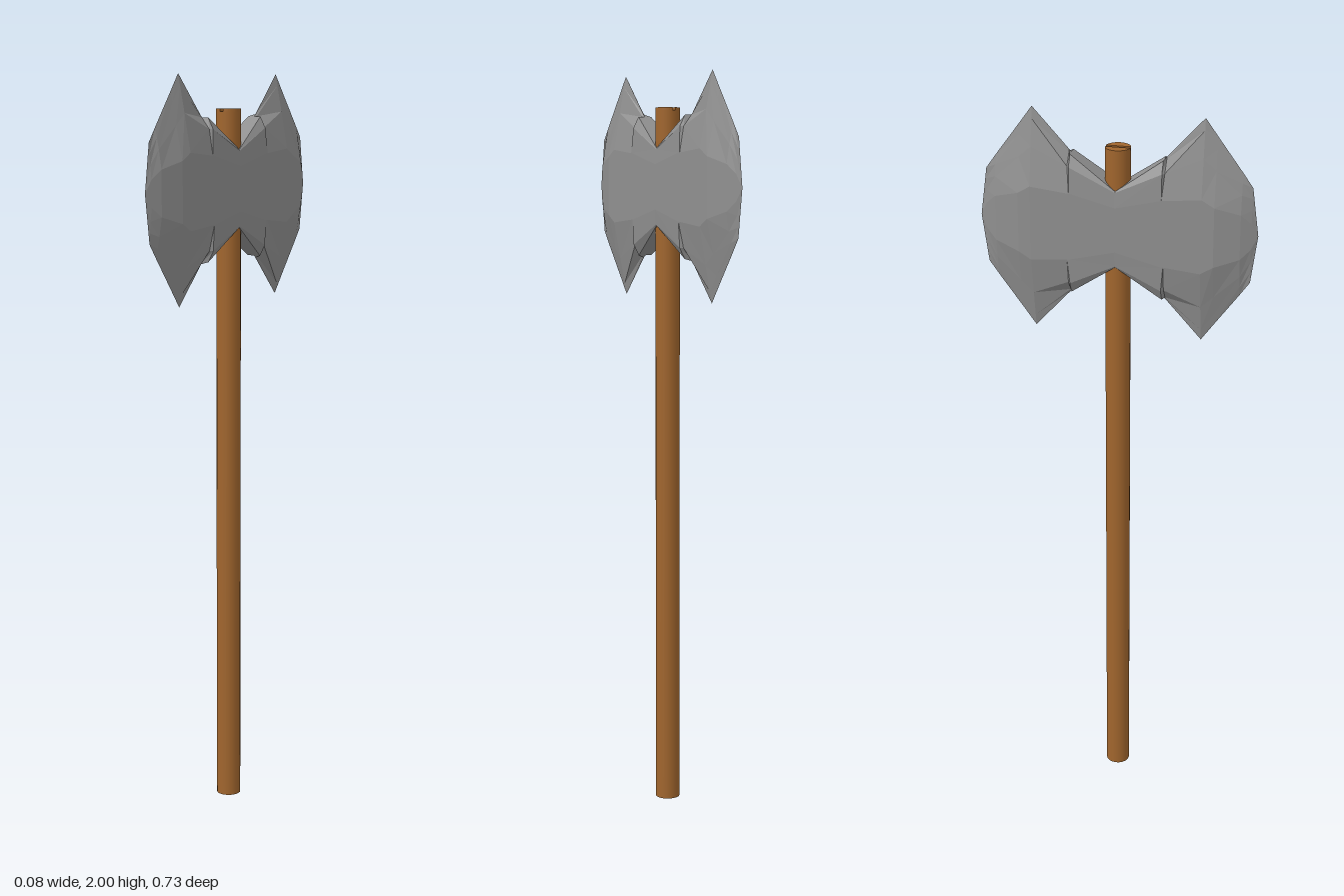
import * as THREE from 'three';

const HANDLE_RADIUS = 0.033;
const HANDLE_TOP = 1.91;
const SLOT_DEPTH = 0.008;
const HEAD_Y = 1.7;

// Half of the head from the handle to the cutting edge:
// z, then a quarter section [x, y] from the ridge down to the cheek.
const SECTIONS = [
  { z: 0, q: [[0, 0.103], [0.035, 0.103], [0.037, 0.1], [0.04, 0.06]] },
  { z: 0.12, q: [[0, 0.188], [0.02, 0.188], [0.036, 0.158], [0.04, 0.09]] },
  { z: 0.126, q: [[0, 0.194], [0.004, 0.188], [0.028, 0.158], [0.04, 0.09]] },
  { z: 0.222, q: [[0, 0.3], [0.006, 0.27], [0.02, 0.2], [0.039, 0.1]] },
  { z: 0.255, q: [[0, 0.254], [0.006, 0.225], [0.018, 0.17], [0.038, 0.08]] },
  { z: 0.32, q: [[0, 0.165], [0.006, 0.14], [0.012, 0.11], [0.02, 0.06]] },
  { z: 0.346, q: [[0, 0.128], [0.002, 0.1], [0.004, 0.07], [0.008, 0.035]] },
  { z: 0.363, q: [[0, 0], [0, 0], [0, 0], [0, 0]] },
];

// Mirrors a quarter section into a closed ring, counter-clockwise seen from +z
function ringFrom(q) {
  const down = [...q].reverse();
  return [
    ...q.map(([x, y]) => [-x, y]),
    ...down.map(([x, y]) => [-x, -y]),
    ...q.slice(1).map(([x, y]) => [x, -y]),
    ...down.slice(0, -1).map(([x, y]) => [x, y]),
  ];
}

// Skins the rings from one cutting edge to the other
function headGeometry() {
  const mirrored = SECTIONS.slice(1).reverse().map(({ z, q }) => ({ z: -z, q }));
  const stations = [...mirrored, ...SECTIONS];
  const positions = [];
  const indices = [];
  let n = 0;
  stations.forEach(({ z, q }) => {
    const ring = ringFrom(q);
    n = ring.length;
    ring.forEach(([x, y]) => positions.push(x, y, z));
  });
  for (let s = 0; s < stations.length - 1; s++) {
    for (let i = 0; i < n; i++) {
      const a = s * n + i;
      const b = s * n + ((i + 1) % n);
      // Swap the diagonal on the mirrored half so both blades match
      if (s < SECTIONS.length - 1) indices.push(a, b, b + n, a, b + n, a + n);
      else indices.push(a, b, a + n, b, b + n, a + n);
    }
  }
  const geometry = new THREE.BufferGeometry();
  geometry.setAttribute('position', new THREE.Float32BufferAttribute(positions, 3));
  geometry.setIndex(indices);
  const flat = geometry.toNonIndexed();
  flat.computeVertexNormals();
  return flat;
}

// Half of the round handle top, beside the slot
function slotCheekGeometry() {
  const a = Math.acos(0.005 / HANDLE_RADIUS);
  const shape = new THREE.Shape();
  shape.absarc(0, 0, HANDLE_RADIUS, -a, a, false);
  shape.closePath();
  return new THREE.ExtrudeGeometry(shape, {
    depth: SLOT_DEPTH, bevelEnabled: false, curveSegments: 10,
  }).rotateX(-Math.PI / 2);
}

export function createModel() {
  const model = new THREE.Group();
  model.name = 'doubleAxe';
  const wood = new THREE.MeshStandardMaterial({ color: 0xa0652d });
  const metal = new THREE.MeshStandardMaterial({ color: 0x8f8f8f, flatShading: true });

  const add = (name, geometry, material, y) => {
    const mesh = new THREE.Mesh(geometry, material);
    mesh.name = name;
    mesh.position.y = y;
    model.add(mesh);
    return mesh;
  };

  // Handle shaft
  const length = HANDLE_TOP - SLOT_DEPTH;
  add('handle', new THREE.CylinderGeometry(HANDLE_RADIUS, HANDLE_RADIUS, length, 20), wood, length / 2);

  // Slotted handle top
  for (const turn of [0, Math.PI]) {
    add('handleTop', slotCheekGeometry(), wood, length).rotation.y = turn;
  }

  // Double-bladed head
  add('axeHead', headGeometry(), metal, HEAD_Y);
  return model;
}
